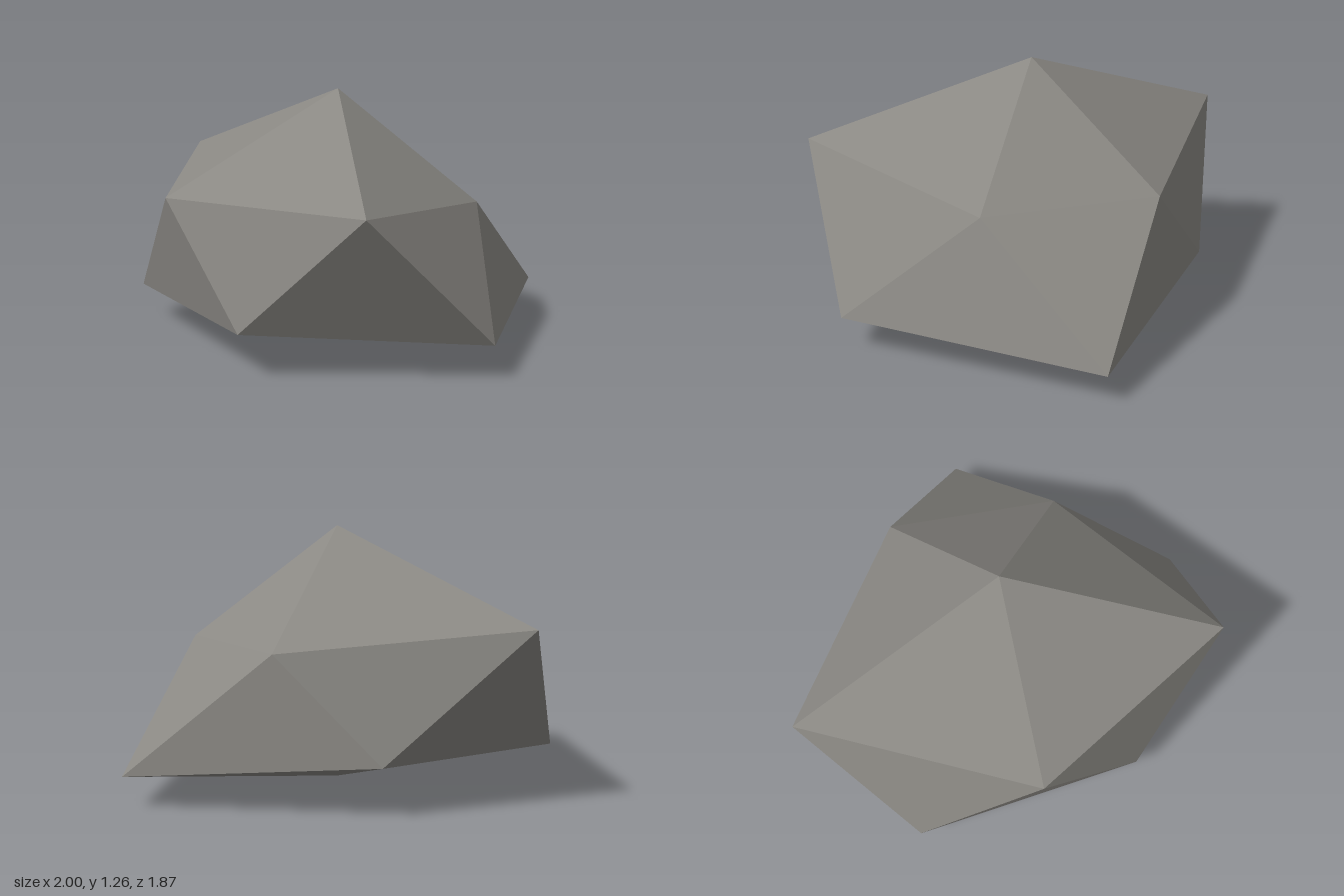
import * as THREE from 'three';

export function createModel() {
  const group = new THREE.Group();
  group.name = 'boulder';

  const stone = new THREE.MeshStandardMaterial({ color: 0x8a8883 });
  stone.name = 'stone grey';

  // Two staggered rings of corners between a peak and a base point
  const peak = [0.06, 1.26, -0.12];
  const base = [0.06, 0, -0.12];
  const upper = [[-0.88, 0.845, -0.8], [-0.68, 0.775, 0.42], [0.4, 0.83, 0.93], [0.77, 0.71, -0.12], [0.3, 0.73, -0.835]];
  const lower = [[-1, 0.18, -0.12], [-0.23, 0.22, 0.765], [0.935, 0.17, 0.52], [1, 0.15, -0.8], [-0.2, 0.24, -0.935]];

  // Cap, zigzag side band and underside, one sector at a time
  const positions = [];
  const face = (...corners) => corners.forEach((c) => positions.push(...c));
  for (let i = 0; i < 5; i++) {
    const j = (i + 1) % 5;
    face(peak, upper[i], upper[j]);
    face(upper[i], lower[i], upper[j]);
    face(lower[i], lower[j], upper[j]);
    face(lower[j], lower[i], base);
  }

  // Unshared corners give every facet a flat normal
  const geometry = new THREE.BufferGeometry();
  geometry.setAttribute('position', new THREE.Float32BufferAttribute(positions, 3));
  geometry.computeVertexNormals();

  const rock = new THREE.Mesh(geometry, stone);
  rock.name = 'rock';
  group.add(rock);
  return group;
}
